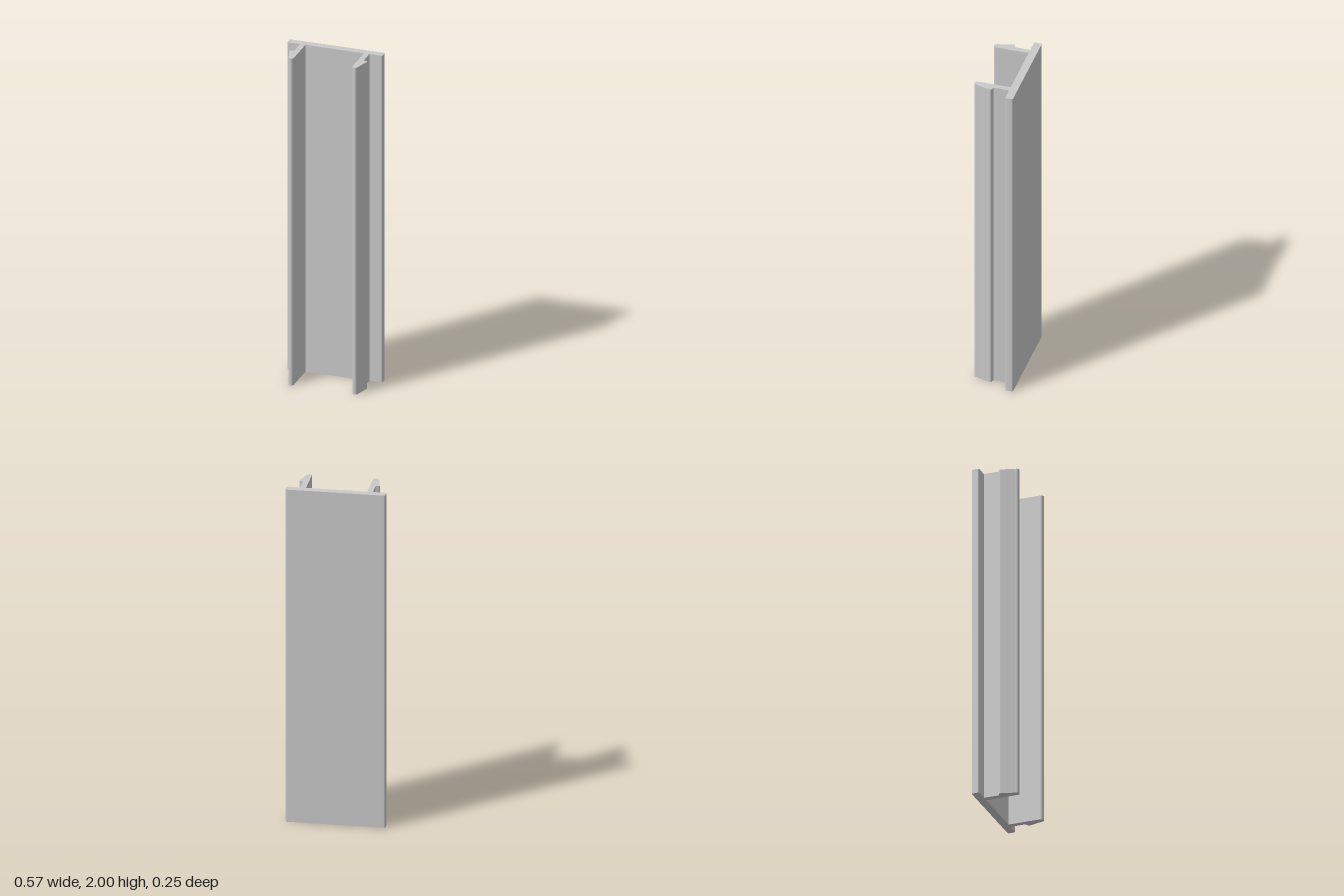
import * as THREE from 'three';

const LENGTH = 2;

// Left half of the cross-section; its second axis points to the back
function halfProfile() {
  const p = new THREE.Path();
  // cover plate with rounded edge
  p.moveTo(0.273, 0.126);
  p.quadraticCurveTo(0.283, 0.126, 0.283, 0.116);
  p.lineTo(0.283, 0.091);
  p.quadraticCurveTo(0.283, 0.081, 0.273, 0.081);
  // outer side of the leg and its snap barb
  p.lineTo(0.206, 0.081);
  p.lineTo(0.206, -0.01);
  p.lineTo(0.222, -0.015);
  p.quadraticCurveTo(0.231, -0.018, 0.229, -0.027);
  // rounded tip and inner side of the leg
  p.lineTo(0.206, -0.11);
  p.absarc(0.19, -0.11, 0.016, 0, -Math.PI, true);
  p.lineTo(0.174, 0.081);
  return p.getPoints(12);
}

export function createModel() {
  const group = new THREE.Group();
  group.name = 'snapInCoverProfile';
  const greyPlastic = new THREE.MeshStandardMaterial({ color: 0xc9c9c9 });
  greyPlastic.name = 'light grey plastic';

  // mirror the half into one closed outline and extrude it upward
  const half = halfProfile();
  const mirrored = half.map((v) => new THREE.Vector2(-v.x, v.y)).reverse();
  const outline = new THREE.Shape([...half, ...mirrored]);
  const geometry = new THREE.ExtrudeGeometry(outline, { depth: LENGTH, bevelEnabled: false });
  geometry.rotateX(-Math.PI / 2);

  const strip = new THREE.Mesh(geometry, greyPlastic);
  strip.name = 'coverStrip';
  group.add(strip);
  return group;
}
